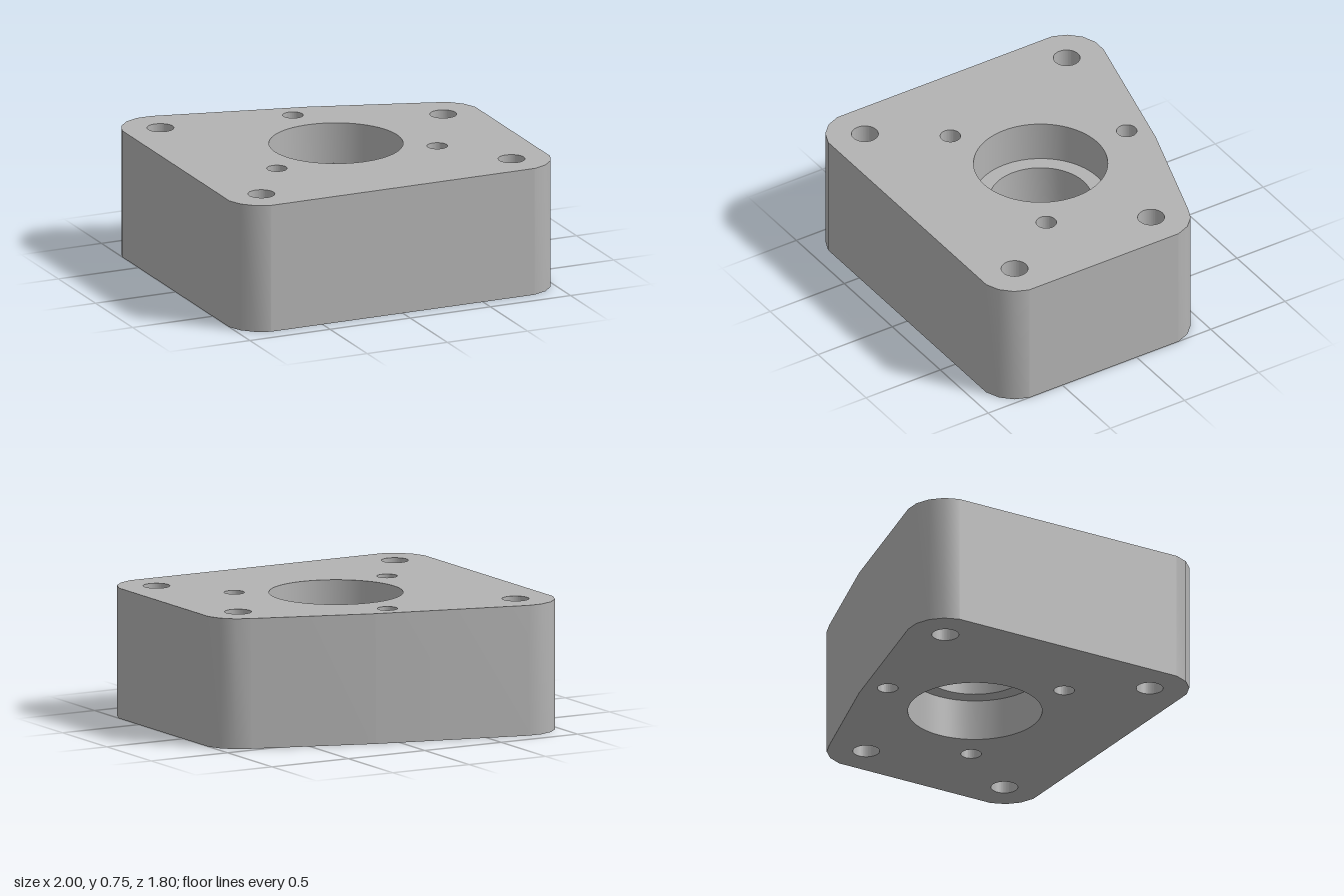
import * as THREE from 'three';
import { toCreasedNormals } from 'three/addons/utils/BufferGeometryUtils.js';

const HEIGHT = 0.75;
const BORE = 0.38;
const CREASE = 0.6;
const STEP = Math.PI / 8;
const CORNER_RADIUS = 0.22 / Math.cos(STEP / 2);

// Corner bolt holes, also the centres of the rounded corners (x, z).
const BOLTS = [[0.78, 0.68], [-0.78, 0.68], [-0.78, -0.68], [0.78, -0.24]];
const SMALL_HOLES = [[0, -0.58], [-0.5, 0.285], [0.5, 0.285]];

// Points round one corner, starting at the given quarter turn.
function corner([x, z], quarter, count = 4) {
  return Array.from({ length: count }, (_, i) => {
    const a = quarter * Math.PI / 2 + (i + 0.5) * STEP;
    return new THREE.Vector2(x + CORNER_RADIUS * Math.cos(a), z + CORNER_RADIUS * Math.sin(a));
  });
}

// Adds points close to the ends of long walls, so they stay flat between smooth corners.
function holdWalls(points) {
  return points.flatMap((p, i) => {
    const q = points[(i + 1) % points.length];
    const d = p.distanceTo(q);
    if (d < 0.2) return [p];
    return [p, p.clone().lerp(q, 0.004 / d), q.clone().lerp(p, 0.004 / d)];
  });
}

function circle(x, z, radius) {
  return new THREE.Path().absarc(x, z, radius, 0, Math.PI * 2, true);
}

export function createModel() {
  const group = new THREE.Group();
  group.name = 'mountingBlock';
  const metal = new THREE.MeshStandardMaterial({ color: 0xb3b3b3 });
  metal.name = 'grey metal';

  // Block with a slanted back wall, drilled right through.
  const outline = new THREE.Shape(holdWalls([
    ...corner(BOLTS[0], 0),
    ...corner(BOLTS[1], 1),
    ...corner(BOLTS[2], 2, 5),
    new THREE.Vector2(0.14, -0.685),
    ...corner(BOLTS[3], 3),
  ]));
  outline.holes.push(
    circle(0, 0, BORE),
    ...BOLTS.map(([x, z]) => circle(x, z, 0.076)),
    ...SMALL_HOLES.map(([x, z]) => circle(x, z, 0.058)),
  );
  const blockGeometry = new THREE.ExtrudeGeometry(outline, {
    depth: HEIGHT, bevelEnabled: false, curveSegments: 48,
  });
  blockGeometry.rotateX(Math.PI / 2).translate(0, HEIGHT, 0);
  const block = new THREE.Mesh(toCreasedNormals(blockGeometry, CREASE), metal);
  block.name = 'block';
  group.add(block);

  // Narrower shoulder halfway down the bore.
  const profile = [[BORE, 0.51], [0.29, 0.51], [0.29, 0.24], [BORE, 0.24]]
    .map(([r, y]) => new THREE.Vector2(r, y));
  const shoulderGeometry = new THREE.LatheGeometry(profile, 48);
  const shoulder = new THREE.Mesh(toCreasedNormals(shoulderGeometry, CREASE), metal);
  shoulder.name = 'boreShoulder';
  group.add(shoulder);

  return group;
}
